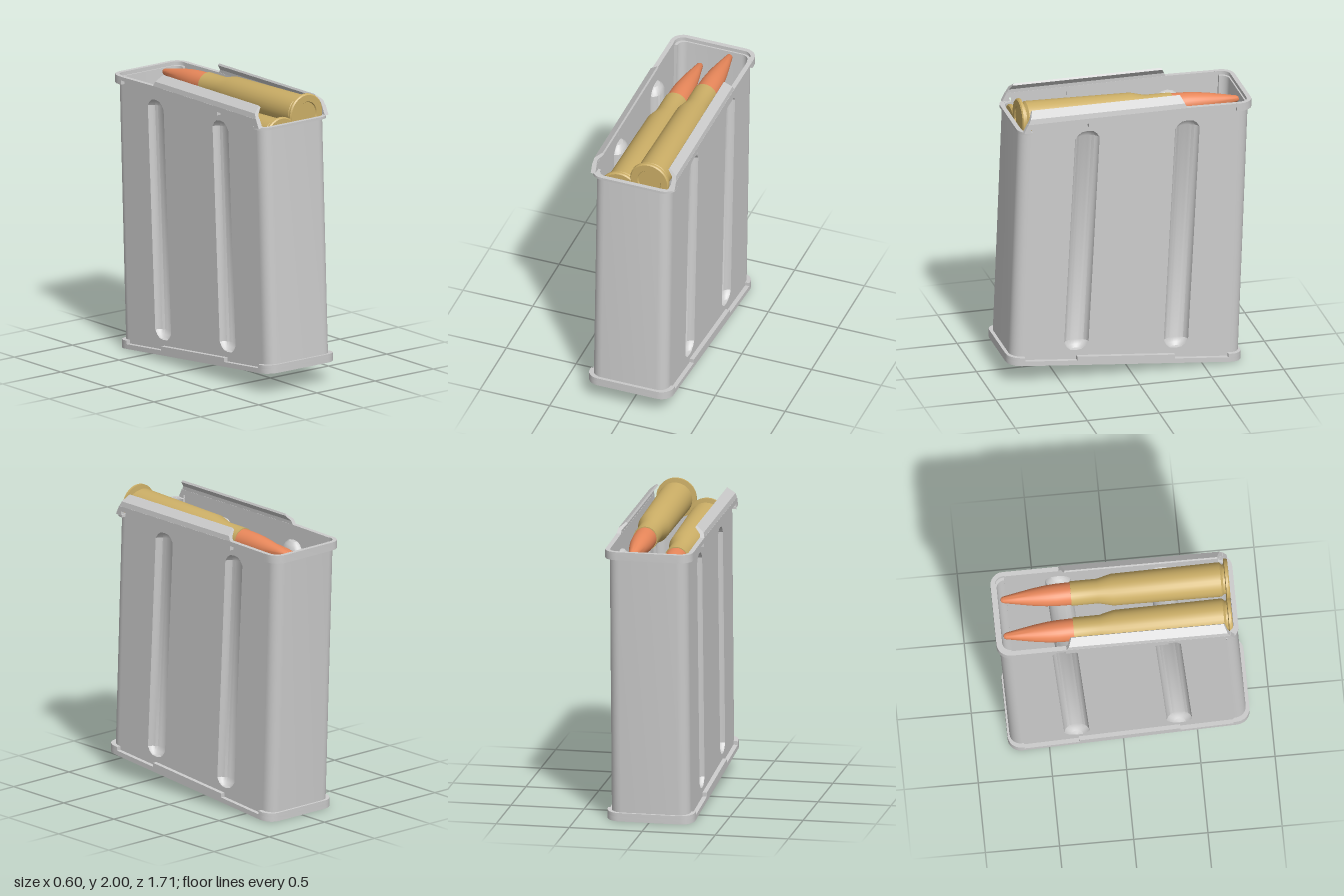
import * as THREE from 'three';
import { toCreasedNormals } from 'three/addons/utils/BufferGeometryUtils.js';

const grey = new THREE.MeshStandardMaterial({ color: 0xcccccc, side: THREE.DoubleSide });
const brass = new THREE.MeshStandardMaterial({ color: 0xcbae66 });
const copper = new THREE.MeshStandardMaterial({ color: 0xe8875a });

const floorY = z => 0.089 * z + 0.069;   // sloping underside
const lean = y => -0.0385 * (y - 1);     // backward lean of the case

// Move every vertex by a rule
function warp(geo, rule) {
  const p = geo.attributes.position, v = new THREE.Vector3();
  for (let i = 0; i < p.count; i++) {
    rule(v.fromBufferAttribute(p, i));
    p.setXYZ(i, v.x, v.y, v.z);
  }
  return geo;
}

// Plan outline (x, z) of one rounded end, running from +x round to -x
function endOutline(w, cut, end, r) {
  const s = Math.sign(end), half = [[w, cut]];
  for (let i = 0; i <= 6; i++) {
    const a = (i / 6) * Math.PI / 2;
    half.push([w - r + r * Math.cos(a), end - s * r * (1 - Math.sin(a))]);
  }
  return [...half, ...half.map(([x, z]) => [-x, z]).reverse()];
}

// U-shaped strip of thickness t following a rounded end
function endRing(w, cut, end, r, t) {
  const inner = endOutline(w - t, cut, end - Math.sign(end) * t, r - t);
  return [...endOutline(w, cut, end, r), ...inner.reverse()];
}

const toShape = pts => new THREE.Shape(pts.map(([x, y]) => new THREE.Vector2(x, y)));

// Extrude a plan outline upwards
function slab(pts, y, h) {
  const geo = new THREE.ExtrudeGeometry(toShape(pts.map(([x, z]) => [x, -z])), { depth: h, bevelEnabled: false });
  return geo.rotateX(-Math.PI / 2).translate(0, y, 0);
}

export function createModel() {
  const model = new THREE.Group();
  const add = (name, geo, mat = grey, parent = model) => {
    const mesh = new THREE.Mesh(toCreasedNormals(geo, 0.5), mat);
    mesh.name = name;
    parent.add(mesh);
    return mesh;
  };

  // Rounded front and back walls of the case
  for (const [name, cut, end, top] of [['frontWall', 0.72, 0.8, 1.83], ['backWall', -0.72, -0.797, 1.86]]) {
    add(name, warp(slab(endRing(0.27, cut, end, 0.075, 0.02), 0, top), v => {
      if (v.y < 1) v.y = floorY(v.z) + 0.02;
      v.z += lean(v.y);
    }));
  }

  // Side walls with two pressed grooves each
  const grooves = [[0.34, 0.2, 1.79], [-0.355, 0.14, 1.79]];
  const grooveR = 0.085, grooveDepth = 0.06;
  const grooveProfile = (y0, y1) => {
    const end = [[0.001, 0], [0.04, 0.006], [0.065, 0.025], [grooveR, 0.055]];
    return [...end.map(([r, d]) => [r, y0 + d]), ...end.map(([r, d]) => [r, y1 - d]).reverse()];
  };
  const grooveZ = (zc, y) => zc - 0.052 * (y - 1);
  const panel = toShape([[0.72, floorY(0.72) + 0.02], [0.72, 1.87], [-0.72, 1.87], [-0.72, floorY(-0.72) + 0.02]]
    .map(([z, y]) => [z + lean(y), y]));
  for (const [zc, y0, y1] of grooves) {
    const prof = grooveProfile(y0, y1);
    const loop = [...prof, ...prof.map(([r, y]) => [-r, y]).reverse()];
    panel.holes.push(new THREE.Path(loop.map(([r, y]) => new THREE.Vector2(grooveZ(zc, y) + r, y))));
  }
  for (const s of [1, -1]) {
    const side = s > 0 ? 'left' : 'right';
    add(side + 'Wall', new THREE.ShapeGeometry(panel).rotateY(-Math.PI / 2).translate(s * 0.27, 0, 0));
    for (const [zc, y0, y1] of grooves) {
      const pts = grooveProfile(y0, y1).map(([r, y]) => new THREE.Vector2(r, y));
      const geo = new THREE.LatheGeometry(pts, 12, s > 0 ? Math.PI : 0, Math.PI);
      add(side + 'Groove', warp(geo, v => {
        v.x = s * 0.27 + v.x * grooveDepth / grooveR;
        v.z += grooveZ(zc, v.y);
      }));
    }

    // Stepped rim along the top of the side
    const rim = toShape([[-0.75, 1.86], [-0.39, 1.86], [-0.39, 1.83], [0.3, 1.83], [0.3, 1.855], [0.7, 1.855],
      [0.7, 1.825], [0.75, 1.83], [0.72, 1.89], [-0.38, 1.893], [-0.75, 1.885]]);
    add(side + 'Rim', new THREE.ExtrudeGeometry(rim, { depth: 0.032, bevelEnabled: false })
      .rotateY(-Math.PI / 2).translate(s > 0 ? 0.3 : -0.268, 0, 0));

    // Feed lip leaning inwards, its ends cut at a slant
    const lip = toShape([[0.3, 1.885], [0.293, 1.925], [0.24, 1.968], [0.233, 1.955], [0.268, 1.915], [0.27, 1.885]]
      .map(([x, y]) => [s * x, y]));
    add(side + 'FeedLip', warp(
      new THREE.ExtrudeGeometry(lip, { depth: 1.11, bevelEnabled: false }).translate(0, 0, -0.39),
      v => { v.z -= Math.sign(v.z) * (v.y - 1.885) * 0.5; }));
  }

  // Rims over the rounded ends
  add('backRim', slab(endRing(0.3, -0.73, -0.85, 0.09, 0.03), 1.83, 0.056));
  add('frontRim', slab(endRing(0.3, 0.69, 0.78, 0.085, 0.03), 1.815, 0.018));

  // Floor plate with raised ends and middle
  const W = 0.3, F = 0.855, B = -0.775, R = 0.09;
  const plate = [
    ['floorPlate', [...endOutline(W, 0.7, F, R), ...endOutline(W, -0.66, B, R).reverse()], 0, 0.033],
    ['floorPlateFront', endOutline(W, 0.74, F, R), 0.033, 0.025],
    ['floorPlateBack', endOutline(W, -0.67, B, R), 0.033, 0.025],
    ['floorPlateMiddle', [[W, 0.38], [W, -0.3], [-W, -0.3], [-W, 0.38]], 0.033, 0.028],
  ];
  for (const [name, pts, y, h] of plate) {
    add(name, warp(slab(pts, y, h), v => { v.y += floorY(v.z); }));
  }

  // Two cartridges, staggered
  const turned = pts => new THREE.LatheGeometry(pts.map(([r, z]) => new THREE.Vector2(r, z)), 32).rotateX(Math.PI / 2);
  const casing = [[0.07, -0.32], [0.083, -0.32], [0.083, -0.14], [0.107, -0.04], [0.116, 0.69], [0.1, 0.705],
    [0.1, 0.718], [0.138, 0.722], [0.138, 0.738], [0.13, 0.746], [0.085, 0.746], [0.08, 0.738], [0, 0.738]];
  const bullet = [[0, -0.792], [0.014, -0.788], [0.022, -0.775], [0.04, -0.68], [0.058, -0.58], [0.07, -0.49],
    [0.075, -0.42], [0.077, -0.31]];
  for (const [name, x, y] of [['upperCartridge', 0.117, 1.854], ['lowerCartridge', -0.095, 1.725]]) {
    const group = new THREE.Group();
    group.name = name;
    add('casing', turned(casing), brass, group);
    add('bullet', turned(bullet), copper, group);
    group.position.set(x, y, 0);
    group.rotation.x = -0.014;
    model.add(group);
  }
  return model;
}
